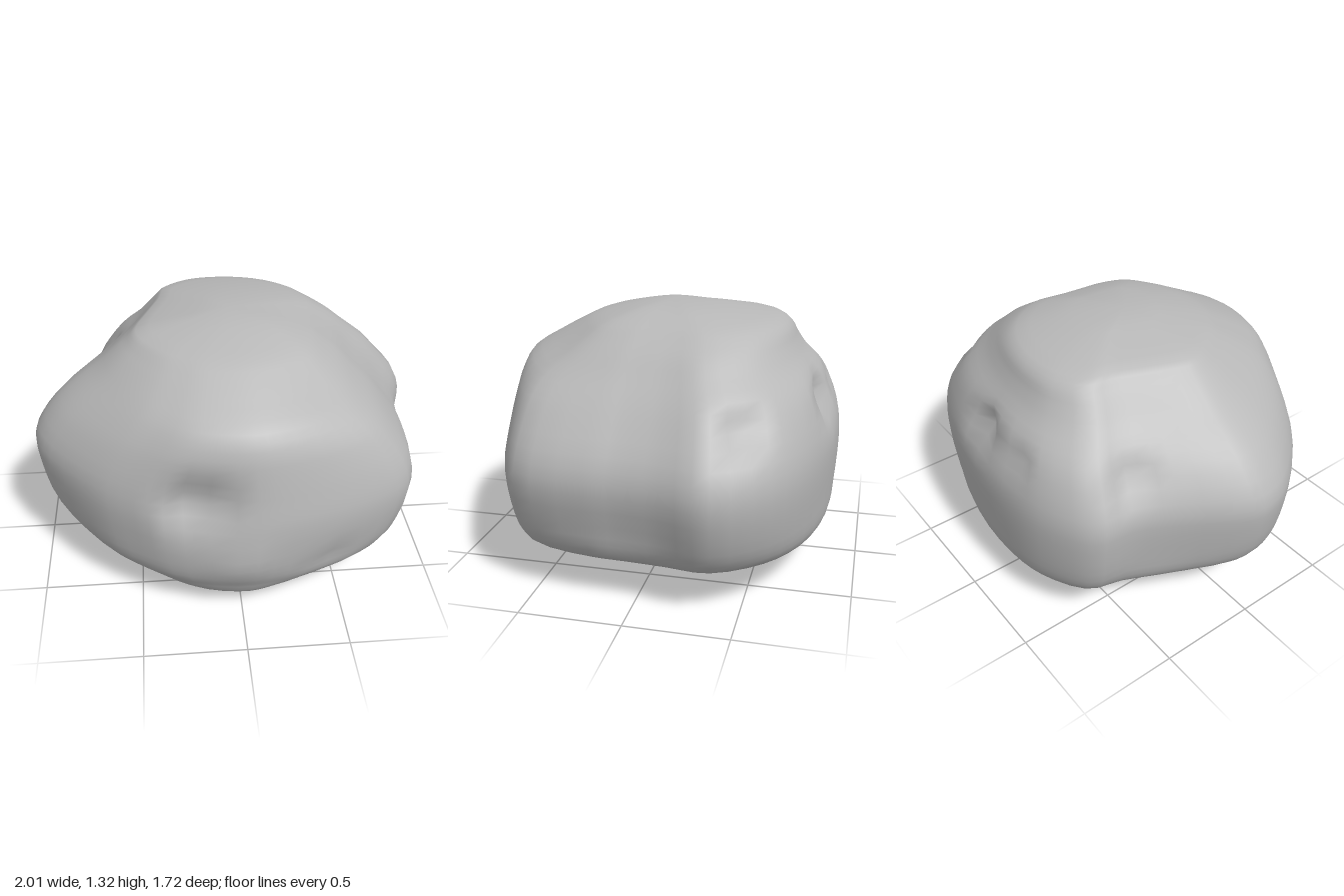
import * as THREE from 'three';

// Plan outline of the boulder at its widest (x, z), clockwise from above
const OUTLINE = [
  [-1, -0.02], [-0.82, -0.3], [-0.72, -0.5], [-0.69, -0.7], [-0.46, -0.83], [-0.23, -0.87],
  [0.17, -0.855], [0.58, -0.76], [0.83, -0.62], [1, -0.38], [0.93, -0.15], [0.9, 0.05],
  [0.9, 0.2], [0.84, 0.56], [0.63, 0.7], [0.27, 0.81], [0.02, 0.84], [-0.33, 0.78],
  [-0.53, 0.67], [-0.7, 0.55], [-0.93, 0.28], [-1, 0.13],
];

// Cross-sections: y, reach toward -x, +x, -z, +z
const SECTIONS = [
  [0.035, 0.25, 0.2, 0.42, 0.45], [0.055, 0.45, 0.3, 0.58, 0.62], [0.12, 0.61, 0.49, 0.74, 0.73],
  [0.2, 0.79, 0.81, 0.82, 0.77], [0.27, 0.89, 0.9, 0.85, 0.8], [0.38, 0.96, 0.95, 0.86, 0.82],
  [0.57, 1, 1, 0.87, 0.83], [0.72, 1, 0.97, 0.86, 0.81], [0.87, 0.9, 0.86, 0.82, 0.79],
  [0.97, 0.79, 0.77, 0.77, 0.77], [1.06, 0.67, 0.67, 0.69, 0.72], [1.14, 0.58, 0.58, 0.64, 0.59],
  [1.2, 0.51, 0.49, 0.61, 0.48], [1.25, 0.44, 0.4, 0.53, 0.37], [1.3, 0.19, 0.22, 0.27, 0.16],
];

// Dents and bumps: centre x, y, z, radius, then push x, y, z
const DENTS = [
  [-0.23, 0.71, 0.8, 0.13, 0, -0.02, -0.11],
  [-0.02, 0.38, 0.82, 0.13, 0, 0, 0.03],
  [0.42, 0.32, 0.74, 0.08, -0.01, 0, -0.03],
  [0.78, 0.88, -0.5, 0.1, -0.07, 0, 0.04],
  [-0.7, 0.9, -0.48, 0.1, 0.06, 0, 0.03],
  [0.1, 0.87, -0.8, 0.1, 0, 0, 0.09],
  [-0.22, 0.87, -0.8, 0.08, 0, 0, 0.04],
  [0.05, 0, 0.38, 0.18, 0, -0.05, 0],
  [0.06, 1.31, -0.1, 0.06, 0, -0.015, 0],
  [0.45, 1.1, 0.45, 0.25, -0.015, -0.03, -0.015],
];

function shapePoint(p) {
  const q = p.clone();
  for (const [x, y, z, r, dx, dy, dz] of DENTS) {
    const d2 = (p.x - x) ** 2 + (p.y - y) ** 2 + (p.z - z) ** 2;
    const w = Math.exp(-d2 / (r * r));
    q.x += dx * w; q.y += dy * w; q.z += dz * w;
  }
  q.y = Math.max(0, q.y);
  return q;
}

// Scale that passes smoothly from one side of the boulder to the other
const sideScale = (v, low, high) =>
  THREE.MathUtils.lerp(low, high, THREE.MathUtils.smoothstep(v, -0.4, 0.4));

function boulderGeometry(cols = 64, rows = 36) {
  const curve = new THREE.CatmullRomCurve3(
    OUTLINE.map(([x, z]) => new THREE.Vector3(x, 0, z / (z < 0 ? 0.87 : 0.84))), true);
  const plan = curve.getPoints(cols).slice(0, cols);
  const spline = (a, b) => new THREE.CatmullRomCurve3(
    SECTIONS.map((s) => new THREE.Vector3(s[0], s[a], s[b])), false, 'catmullrom');
  const sides = spline(1, 2), ends = spline(3, 4);

  const pos = [], index = [];
  const add = (x, y, z) => pos.push(...shapePoint(new THREE.Vector3(x, y, z)).toArray());
  for (let i = 0; i < rows; i++) {
    const a = sides.getPoint(i / (rows - 1)), b = ends.getPoint(i / (rows - 1));
    // Sections grow rounder toward the underside, and a little toward the top
    const round = 0.05 + 0.55 * (1 - THREE.MathUtils.smoothstep(a.x, 0.05, 0.45))
      + 0.2 * THREE.MathUtils.smoothstep(a.x, 0.9, 1.3);
    for (const p of plan) {
      const oval = (Math.abs(p.x) ** 2.2 + Math.abs(p.z) ** 2.2) ** (-1 / 2.2);
      const k = THREE.MathUtils.lerp(1, oval, round);
      add(p.x * k * sideScale(p.x, a.y, a.z), a.x, p.z * k * sideScale(p.z, b.y, b.z));
    }
  }
  const bottom = rows * cols, top = bottom + 1, last = (rows - 1) * cols;
  add(0.03, 0.025, 0);
  add(-0.02, 1.325, -0.02);

  for (let j = 0; j < cols; j++) {
    const k = (j + 1) % cols;
    for (let i = 0; i < last; i += cols) {
      index.push(i + j, i + cols + j, i + k, i + k, i + cols + j, i + cols + k);
    }
    index.push(bottom, j, k, top, last + k, last + j);
  }
  const geo = new THREE.BufferGeometry();
  geo.setAttribute('position', new THREE.Float32BufferAttribute(pos, 3));
  geo.setIndex(index);
  geo.computeVertexNormals();
  return geo;
}

export function createModel() {
  const group = new THREE.Group();
  group.name = 'rock';
  const stone = new THREE.MeshStandardMaterial({ color: 0xb8b8b8 });
  stone.name = 'grey stone';
  const boulder = new THREE.Mesh(boulderGeometry(), stone);
  boulder.name = 'boulder';
  group.add(boulder);
  return group;
}
